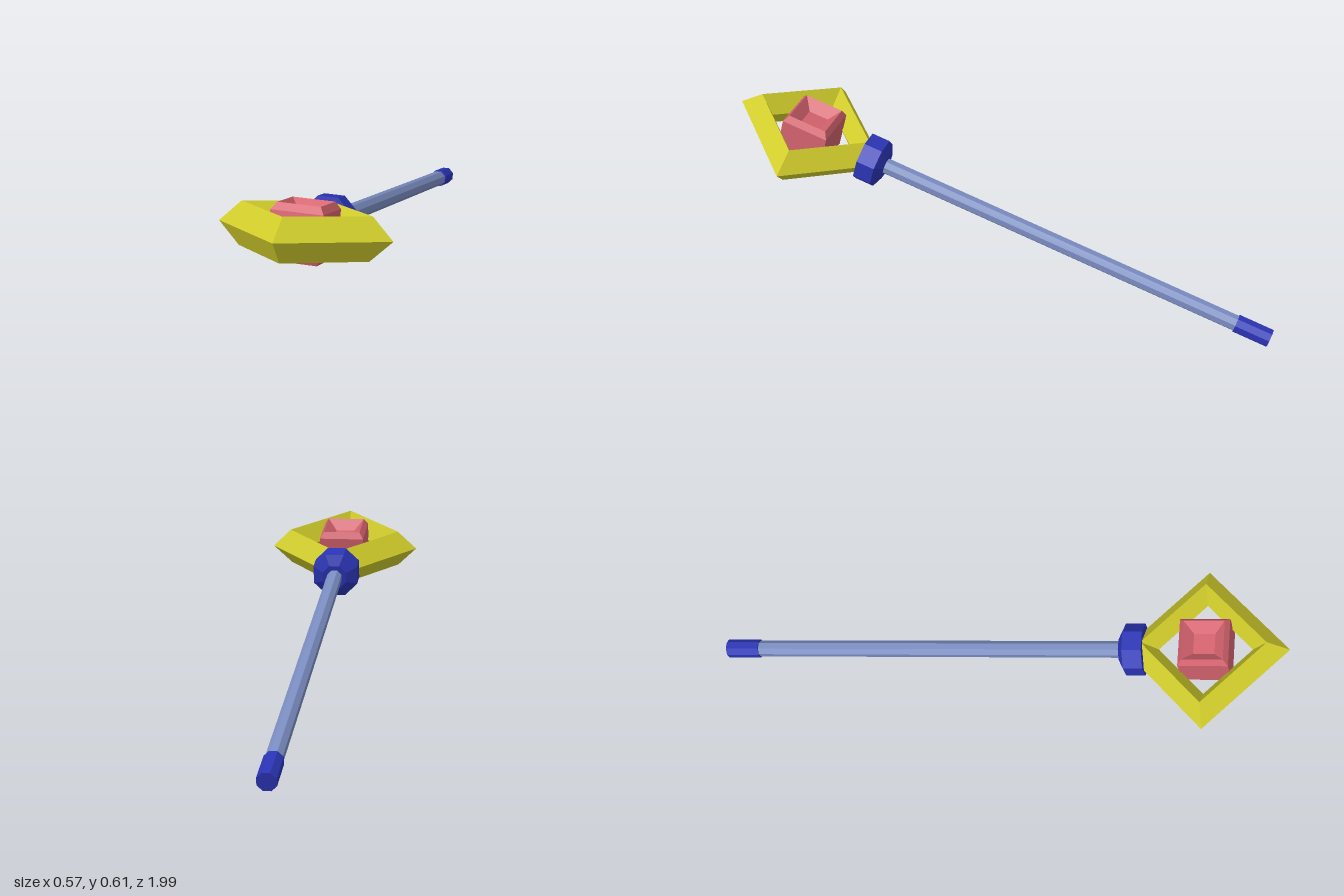
import * as THREE from 'three';

const mat = (color) => new THREE.MeshStandardMaterial({ color, flatShading: true });

export function createModel() {
  const blue = mat(0x2a34b4), steel = mat(0x7a8cc0), yellow = mat(0xd2ce2c), red = mat(0xd4626e);

  // everything is built along +y, then the whole staff is tilted forward
  const staff = new THREE.Group();
  staff.name = 'staff';
  staff.position.set(0, 0.034, -0.992);
  staff.rotation.x = THREE.MathUtils.degToRad(75);

  const add = (name, geometry, material, y) => {
    const mesh = new THREE.Mesh(geometry, material);
    mesh.name = name;
    mesh.position.y = y;
    staff.add(mesh);
    return mesh;
  };

  // faceted solid of revolution from [radius, height] pairs; radii are measured to the flats
  const octagonal = (profile) => new THREE.LatheGeometry(
    profile.map(([r, y]) => new THREE.Vector2(r / Math.cos(Math.PI / 8), y)), 8, Math.PI / 8);

  // shaft, end cap and collar
  add('shaft', octagonal([[0, 0.02], [0.027, 0.02], [0.027, 1.52], [0, 1.52]]), steel, 0);
  add('endCap', octagonal([[0, 0], [0.031, 0], [0.031, 0.127], [0, 0.127]]), blue, 0);
  add('collar', octagonal([[0, -0.02], [0.045, -0.02], [0.083, 0], [0.083, 0.067], [0, 0.067]]), blue, 1.498);

  // diamond frame with a four-sided bar section
  const bar = [[0.16, 0], [0.213, -0.07], [0.284, 0], [0.213, 0.07], [0.16, 0]];
  const frame = add('diamondFrame',
    new THREE.LatheGeometry(bar.map(([r, y]) => new THREE.Vector2(r, y)), 4), yellow, 1.772);
  frame.rotation.x = Math.PI / 2;

  // square gem with bevelled rims and a sunken face on top and bottom
  const half = [[0, 0.055], [0.036, 0.055], [0.07, 0.091], [0.085, 0.068]];
  const gemProfile = [
    ...half.map(([r, y]) => [r, -y]),
    ...half.slice().reverse(),
  ].map(([r, y]) => new THREE.Vector2(r * Math.SQRT2, y));
  const gem = add('gem', new THREE.LatheGeometry(gemProfile, 4, Math.PI / 4), red, 1.775);
  gem.rotation.x = Math.PI / 2;

  const model = new THREE.Group();
  model.name = 'model';
  model.add(staff);
  return model;
}
